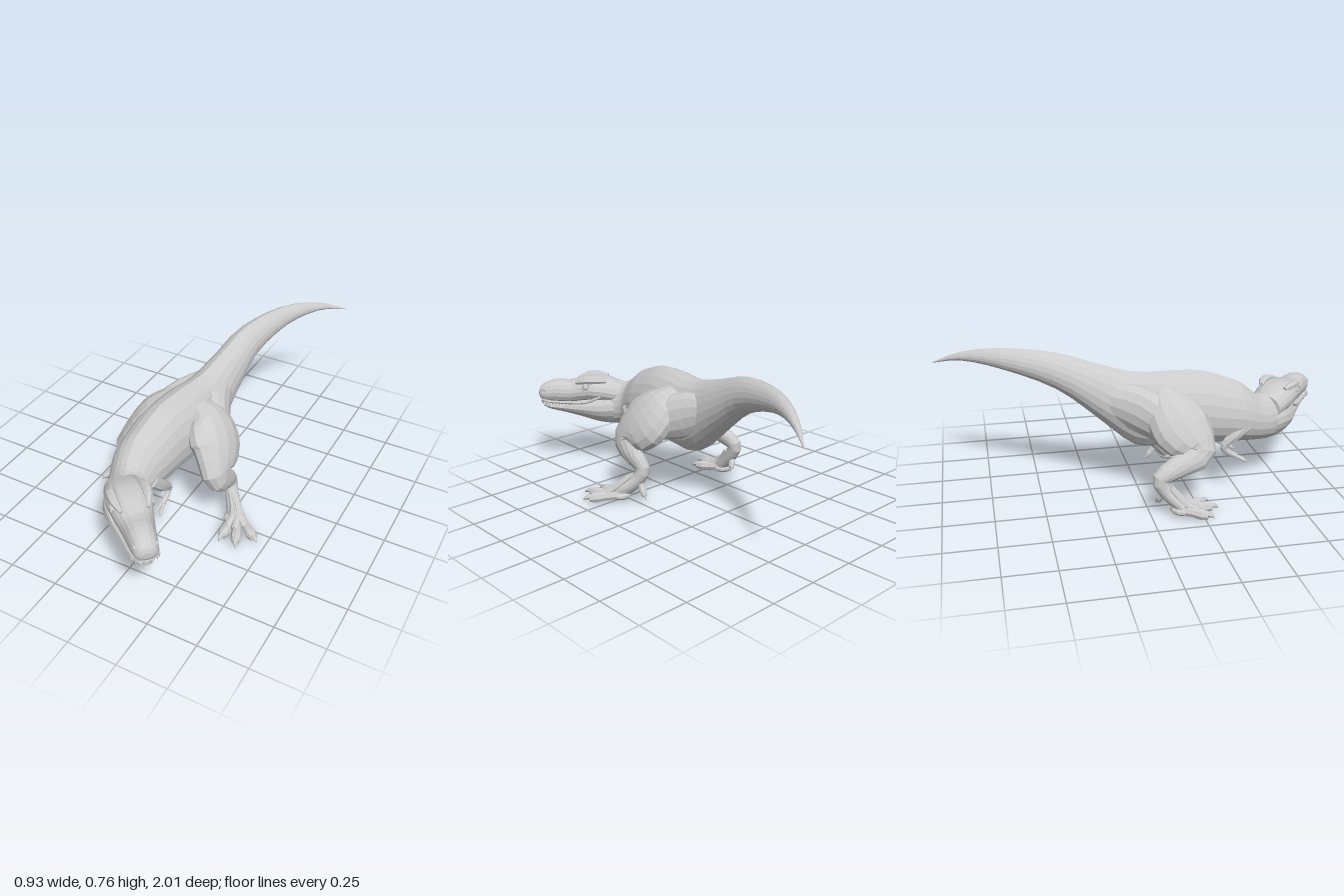
import * as THREE from 'three';

const grey = new THREE.MeshStandardMaterial({ color: 0xcccccc, flatShading: true });
const V = (x, y, z) => new THREE.Vector3(x, y, z);
const UP = V(0, 1, 0), FORWARD = V(0, 0, 1);

// Skin a tube through stations [x, y, z, halfWidth, halfHeight].
// upright keeps sections vertical; shape(angle) scales the radius.
function loft(name, stations, { sides = 12, steps = 3, ref = UP, upright = false, shape = () => [1, 1] } = {}) {
  const path = new THREE.CatmullRomCurve3(stations.map(s => V(s[0], s[1], s[2])), false, 'catmullrom', 0.5);
  const size = new THREE.CatmullRomCurve3(stations.map(s => V(s[3], s[4], 0)), false, 'catmullrom', 0.5);
  const rings = (stations.length - 1) * steps, pos = [], index = [];
  for (let i = 0; i <= rings; i++) {
    const u = i / rings, c = path.getPoint(u), d = size.getPoint(u), t = path.getTangent(u);
    const side = ref.clone().cross(t).normalize();
    const up = upright ? ref : t.clone().cross(side).normalize();
    for (let j = 0; j < sides; j++) {
      const a = j / sides * Math.PI * 2, [sx, sy] = shape(a);
      const p = c.clone()
        .addScaledVector(side, Math.max(d.x, 0.001) * Math.cos(a) * sx)
        .addScaledVector(up, Math.max(d.y, 0.001) * Math.sin(a) * sy);
      pos.push(p.x, p.y, p.z);
      if (i < rings) {
        const k = (j + 1) % sides, A = i * sides + j, B = i * sides + k;
        index.push(A, B, B + sides, A, B + sides, A + sides);
      }
    }
  }
  const last = rings * sides;
  for (let j = 1; j < sides - 1; j++) index.push(0, j + 1, j, last, last + j, last + j + 1);
  const g = new THREE.BufferGeometry();
  g.setAttribute('position', new THREE.Float32BufferAttribute(pos, 3));
  g.setIndex(index);
  g.computeVertexNormals();
  const m = new THREE.Mesh(g, grey);
  m.name = name;
  return m;
}

function ball(name, x, y, z, sx, sy, sz) {
  const m = new THREE.Mesh(new THREE.SphereGeometry(1, 10, 7), grey);
  m.position.set(x, y, z);
  m.scale.set(sx, sy, sz);
  m.name = name;
  return m;
}

// Toe or finger from a to b with a knuckle and a hooked claw
function digit(name, a, b, r) {
  const at = (k, w, lift = 0) => [...a.map((v, i) => v + (b[i] - v) * k + (i === 1 ? lift : 0)), w, w];
  const g = new THREE.Group();
  g.name = name;
  g.add(loft('toe', [at(0, r), at(0.35, r * 0.9), at(0.6, r * 1.05), at(0.8, r * 0.75)], { sides: 8, steps: 2 }));
  g.add(loft('claw', [at(0.72, r * 0.55, r * 0.3), at(0.88, r * 0.4, r * 0.25), at(1, 0.001, -r * 0.2)], { sides: 6, steps: 2 }));
  return g;
}

function leg(name, stations, haunch, toes, dewclaw) {
  const g = new THREE.Group();
  g.name = name;
  g.add(loft('legMuscle', stations, { sides: 14, ref: FORWARD }));
  g.add(loft('haunch', haunch, { sides: 14 }));
  const [x, , z] = stations[stations.length - 1], shank = stations[stations.length - 2];
  toes.forEach(t => {
    g.add(digit('frontToe', [x + (t[0] - x) * 0.2, 0.036, z], t, 0.027));
    // Tendon running from the shank onto each toe
    const k = 0.45, tx = x + (t[0] - x) * k, tz = z + (t[2] - z) * k;
    g.add(loft('toeTendon', [[shank[0] + (t[0] - x) * 0.12, shank[1] + 0.03, shank[2] + 0.015, 0.016, 0.016],
      [x + (t[0] - x) * 0.2, 0.07, z + 0.01, 0.021, 0.021], [tx, 0.038, tz, 0.02, 0.02]], { sides: 8 }));
  });
  g.add(ball('footPad', x, 0.032, z, 0.058, 0.027, 0.055));
  g.add(digit('dewclaw', [shank[0] - 0.01, shank[1] + 0.01, shank[2] - 0.01], dewclaw, 0.017));
  return g;
}

function arm(name, x, lean, drop) {
  const g = new THREE.Group();
  g.name = name;
  const y = v => v - drop;
  g.add(loft('foreLimb', [
    [x - lean, 0.38, 0.53, 0.025, 0.04], [x, y(0.33), 0.47, 0.024, 0.032],
    [x, y(0.275), 0.41, 0.018, 0.022], [x, y(0.24), 0.42, 0.015, 0.016], [x, y(0.21), 0.47, 0.014, 0.014],
  ], { sides: 8, ref: FORWARD }));
  [-1, 1].forEach(s => g.add(digit('finger', [x + s * 0.006, y(0.212), 0.465], [x + s * 0.016, y(0.175), 0.53], 0.009)));
  return g;
}

function head() {
  const g = new THREE.Group();
  g.name = 'head';
  g.position.set(-0.04, 0, 0.69);
  g.rotation.y = 0.8;
  // Rows of [distance along head, bottom, top, halfWidth]
  const part = (name, rows, shape) => g.add(loft(name,
    rows.map(([s, lo, hi, w]) => [0, (lo + hi) / 2, s, w, (hi - lo) / 2]), { sides: 18, upright: true, shape }));
  const boxy = a => {
    const k = Math.pow(Math.abs(Math.cos(a)) ** 2.7 + Math.abs(Math.sin(a)) ** 2.7, -1 / 2.7);
    return [k * (Math.sin(a) > 0 ? 1 - 0.2 * Math.sin(a) : 1), k];
  };
  const chin = a => [1 + 0.15 * Math.min(0, Math.sin(a)), 1];
  part('skull', [[-0.05, 0.36, 0.475, 0.085], [0.03, 0.37, 0.505, 0.1], [0.1, 0.38, 0.515, 0.104], [0.17, 0.378, 0.508, 0.093],
    [0.24, 0.367, 0.488, 0.076], [0.32, 0.367, 0.49, 0.066], [0.38, 0.37, 0.475, 0.059], [0.412, 0.38, 0.455, 0.046], [0.424, 0.4, 0.43, 0.022]], boxy);
  part('lowerJaw', [[-0.07, 0.25, 0.43, 0.085], [0.0, 0.238, 0.44, 0.106], [0.08, 0.245, 0.42, 0.106], [0.18, 0.275, 0.395, 0.084],
    [0.28, 0.302, 0.375, 0.063], [0.36, 0.32, 0.366, 0.05], [0.4, 0.336, 0.358, 0.026]], chin);
  for (const s of [-1, 1]) {
    // Brow, eye, nostril and lip
    g.add(loft('browRidge', [[s * 0.064, 0.496, 0.04, 0.012, 0.01], [s * 0.078, 0.503, 0.09, 0.022, 0.019],
      [s * 0.076, 0.5, 0.15, 0.021, 0.018], [s * 0.06, 0.485, 0.21, 0.008, 0.008]], { sides: 7, steps: 2 }));
    g.add(ball('eye', s * 0.088, 0.465, 0.15, 0.013, 0.016, 0.017));
    const socket = new THREE.Mesh(new THREE.TorusGeometry(0.02, 0.005, 6, 14), grey);
    socket.name = 'eyeSocket';
    socket.position.set(s * 0.092, 0.465, 0.15);
    socket.rotation.y = Math.PI / 2 + s * 0.2;
    g.add(socket);
    g.add(ball('nostril', s * 0.047, 0.442, 0.388, 0.01, 0.01, 0.014));
    g.add(loft('lipRidge', [[s * 0.1, 0.415, 0.07, 0.007, 0.007], [s * 0.09, 0.382, 0.15, 0.008, 0.009],
      [s * 0.073, 0.374, 0.25, 0.008, 0.009], [s * 0.058, 0.376, 0.36, 0.007, 0.008], [s * 0.038, 0.382, 0.408, 0.006, 0.007]], { sides: 6 }));
    // Upper teeth
    for (let i = 0; i < 10; i++) {
      const k = i / 9, len = 0.024 + 0.008 * Math.sin(i * 2.1);
      const tooth = new THREE.Mesh(new THREE.ConeGeometry(0.0065, len, 5), grey);
      tooth.name = 'tooth';
      tooth.rotation.x = Math.PI;
      tooth.position.set(s * (i < 8 ? 0.07 - 0.014 * k : 0.046 - 0.03 * (i - 8)), 0.37 - len / 3, 0.25 + 0.16 * Math.min(1, k * 1.05));
      g.add(tooth);
    }
  }
  return g;
}

export function createModel() {
  const model = new THREE.Group();
  model.name = 'dinosaur';

  // Tail, trunk and neck, from the tail tip forward, with a slight spine ridge
  const egg = a => [1 - 0.13 * Math.sin(a), Math.abs(a - Math.PI / 2) < 0.01 ? 1.03 : 1];
  model.add(loft('tailTrunkAndNeck', [
    [0.35, 0.628, -1, 0.002, 0.002], [0.24, 0.687, -0.85, 0.023, 0.022], [0.125, 0.697, -0.65, 0.047, 0.053],
    [0.035, 0.648, -0.4, 0.074, 0.09], [-0.002, 0.54, -0.2, 0.096, 0.138], [-0.03, 0.445, -0.02, 0.125, 0.187],
    [-0.055, 0.445, 0.14, 0.145, 0.19], [-0.075, 0.445, 0.3, 0.142, 0.188], [-0.085, 0.43, 0.41, 0.135, 0.172],
    [-0.093, 0.41, 0.51, 0.122, 0.152], [-0.08, 0.37, 0.6, 0.1, 0.122], [-0.045, 0.36, 0.68, 0.095, 0.12], [0.01, 0.365, 0.75, 0.075, 0.1],
  ], { sides: 20, upright: true, shape: egg }));

  model.add(head());

  model.add(leg('leftLeg', [
    [0.02, 0.55, 0.11, 0.05, 0.06], [0.09, 0.49, 0.13, 0.085, 0.13], [0.16, 0.4, 0.19, 0.085, 0.158],
    [0.205, 0.315, 0.27, 0.062, 0.092], [0.225, 0.245, 0.22, 0.045, 0.064], [0.22, 0.18, 0.145, 0.036, 0.042],
    [0.245, 0.11, 0.17, 0.036, 0.034], [0.295, 0.045, 0.235, 0.048, 0.032],
  ], [[0.01, 0.52, -0.2, 0.05, 0.07], [0.05, 0.47, -0.02, 0.075, 0.12], [0.12, 0.42, 0.12, 0.07, 0.1], [0.17, 0.37, 0.22, 0.04, 0.06]],
  [[0.465, 0.022, 0.335], [0.39, 0.02, 0.42], [0.295, 0.02, 0.41]], [0.245, 0.025, 0.09]));

  model.add(leg('rightLeg', [
    [-0.12, 0.56, 0.1, 0.05, 0.06], [-0.175, 0.48, 0.13, 0.088, 0.13], [-0.24, 0.395, 0.18, 0.085, 0.15],
    [-0.3, 0.3, 0.245, 0.064, 0.088], [-0.33, 0.25, 0.15, 0.046, 0.06], [-0.348, 0.195, 0.045, 0.036, 0.042],
    [-0.352, 0.12, 0.075, 0.036, 0.034], [-0.365, 0.045, 0.145, 0.048, 0.032],
  ], [[-0.02, 0.52, -0.2, 0.06, 0.08], [-0.11, 0.47, -0.01, 0.085, 0.125], [-0.2, 0.41, 0.11, 0.075, 0.1], [-0.25, 0.36, 0.2, 0.04, 0.06]],
  [[-0.465, 0.02, 0.29], [-0.36, 0.02, 0.34], [-0.28, 0.02, 0.31]], [-0.31, 0.05, 0.03]));

  model.add(arm('leftArm', 0.02, 0.01, 0.02), arm('rightArm', -0.195, -0.01, 0));
  return model;
}
